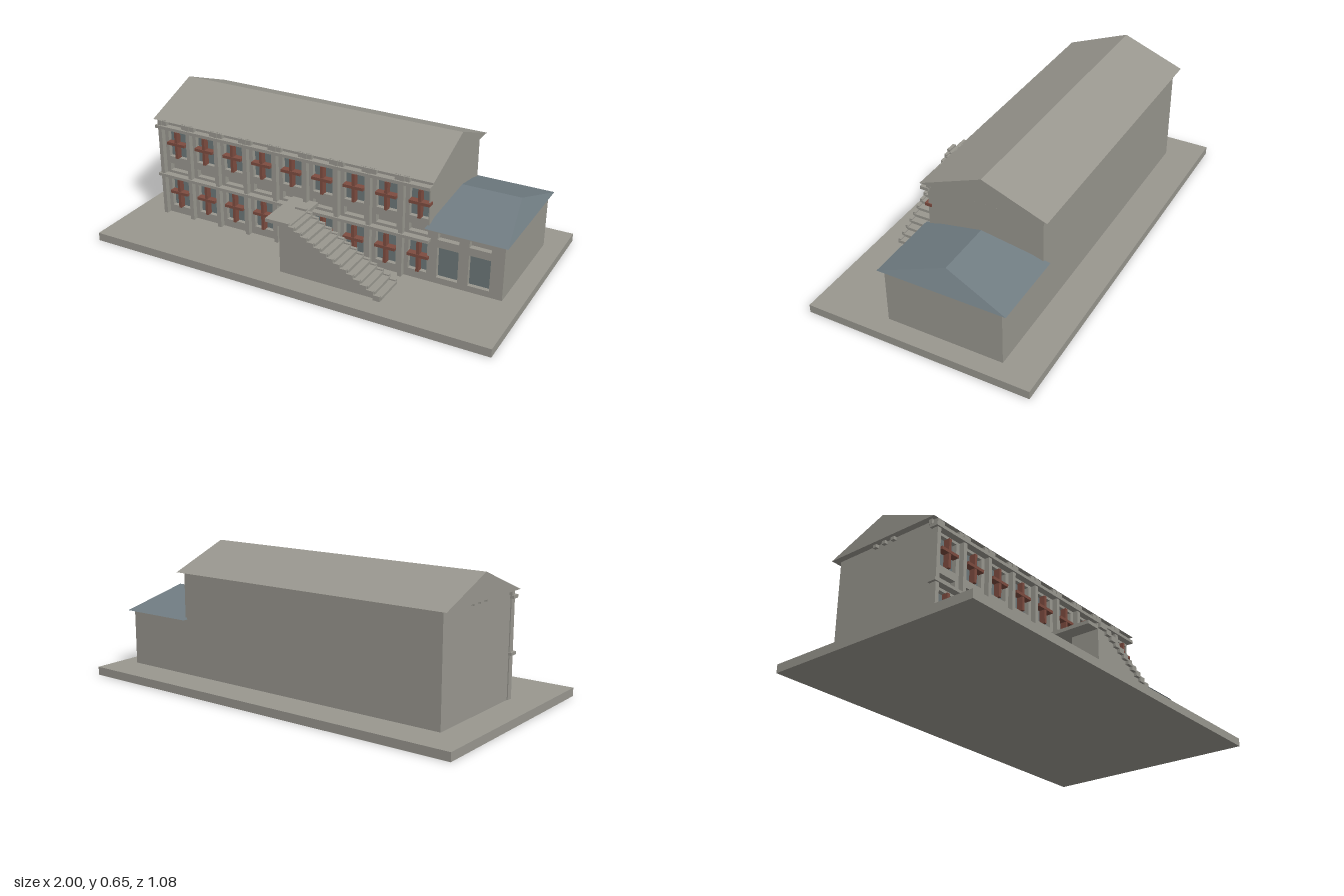
import * as THREE from 'three';

const mat = (name, color, opts = {}) => {
  const m = new THREE.MeshStandardMaterial({ color, ...opts });
  m.name = name;
  return m;
};

export function createModel() {
  const model = new THREE.Group();
  model.name = 'schoolhouse';
  const stone = mat('stone', 0x99978f);
  const slate = mat('slate', 0x707c82);
  const glass = mat('glass', 0x6c7779);
  const wood = mat('wood', 0x7d4c40);

  const add = (name, geo, m, parent = model) => {
    const mesh = new THREE.Mesh(geo, m);
    mesh.name = name;
    parent.add(mesh);
    return mesh;
  };
  const group = (name) => {
    const g = new THREE.Group();
    g.name = name;
    model.add(g);
    return g;
  };
  // Box given by its extents
  const box = (name, x0, x1, y0, y1, z0, z1, m = stone, parent = model) => {
    const mesh = add(name, new THREE.BoxGeometry(x1 - x0, y1 - y0, z1 - z0), m, parent);
    mesh.position.set((x0 + x1) / 2, (y0 + y1) / 2, (z0 + z1) / 2);
    return mesh;
  };
  const rect = (Type, [x0, x1, y0, y1]) => {
    const p = new Type();
    p.moveTo(x0, y0);
    p.lineTo(x1, y0);
    p.lineTo(x1, y1);
    p.lineTo(x0, y1);
    p.closePath();
    return p;
  };
  // Front wall with rectangular openings
  const BACK = -0.37, CORE = 0.16, FRONT = 0.187;
  const wall = (name, outline, holes) => {
    const s = rect(THREE.Shape, outline);
    s.holes = holes.map((h) => rect(THREE.Path, h));
    const geo = new THREE.ExtrudeGeometry(s, { depth: FRONT - CORE, bevelEnabled: false });
    add(name, geo, stone).position.z = CORE;
  };
  // Closed roof: hipped by an inset of the ridge, gabled where the inset is 0
  const roof = (name, x0, x1, y0, y1, inL, inR, m) => {
    const zb = -0.397, zf = 0.212, zr = -0.093;
    const a = [x0, y0, zf], b = [x1, y0, zf], c = [x1, y0, zb], d = [x0, y0, zb];
    const l = [x0 + inL, y1, zr], r = [x1 - inR, y1, zr];
    const tris = [a, b, r, a, r, l, c, d, l, c, l, r, b, c, r, d, a, l, a, d, c, a, c, b];
    const geo = new THREE.BufferGeometry();
    geo.setAttribute('position', new THREE.Float32BufferAttribute(tris.flat(), 3));
    geo.computeVertexNormals();
    add(name, geo, m);
  };

  box('groundSlab', -1, 1, 0, 0.04, -0.54, 0.54);

  // Main block and side annex
  box('mainBlock', -0.85, 0.56, 0.04, 0.535, BACK, CORE);
  box('annexBlock', 0.56, 0.91, 0.04, 0.31, BACK, CORE);
  roof('mainRoof', -0.88, 0.583, 0.535, 0.653, 0, 0, stone);
  roof('annexRoof', 0.548, 0.928, 0.309, 0.402, 0.045, 0.055, slate);

  // Nine window bays on two floors, with recessed panels between
  const windows = group('windows');
  const floors = [[0.08, 0.23], [0.345, 0.482]];
  const mainHoles = [];
  for (let i = 0; i < 9; i++) {
    const cx = -0.765 + i * 0.16;
    const x0 = cx - 0.05, x1 = Math.min(cx + 0.05, 0.555);
    mainHoles.push([x0, x1, 0.27, 0.308]);
    floors.forEach(([y0, y1]) => {
      mainHoles.push([x0, x1, y0, y1]);
      box('windowPane', x0, x1, y0, y1, CORE, CORE + 0.006, glass, windows);
      const cy = (y0 + y1) / 2 + 0.005;
      box('windowMullion', cx - 0.007, cx + 0.007, y0, y1, 0.17, 0.2, wood, windows);
      box('windowTransom', cx - 0.05, cx + 0.05, cy - 0.007, cy + 0.007, 0.17, 0.203, wood, windows);
    });
  }
  wall('mainFacade', [-0.85, 0.56, 0.04, 0.535], mainHoles);

  // Annex windows
  const annexHoles = [];
  [0.652, 0.799].forEach((cx) => {
    annexHoles.push([cx - 0.05, cx + 0.05, 0.07, 0.22], [cx - 0.05, cx + 0.05, 0.257, 0.29]);
    box('annexPane', cx - 0.05, cx + 0.05, 0.07, 0.22, CORE, CORE + 0.006, glass, windows);
  });
  wall('annexFacade', [0.56, 0.91, 0.04, 0.31], annexHoles);

  // Pilasters with a pair of rafter ends beside each one
  const trim = group('facadeTrim');
  for (let i = 0; i < 9; i++) {
    const x = -0.845 + i * 0.16;
    box('pilaster', x - 0.01, x + 0.01, 0.04, 0.535, FRONT - 0.005, 0.212, stone, trim);
    [-0.021, 0.021].forEach((o) => {
      if (x + o > -0.85) box('rafterEnd', x + o - 0.014, x + o + 0.014, 0.51, 0.538, 0.17, 0.208, stone, trim);
    });
  }
  [[0.243, 0.257], [0.495, 0.51]].forEach(([y0, y1]) => {
    box('ledge', -0.867, 0.57, y0, y1, 0.178, 0.219, stone, trim);
  });
  // Purlin ends under both gables
  [-0.04, -0.093, -0.146].forEach((z) => {
    box('purlin', -0.865, 0.572, 0.52, 0.537, z - 0.01, z + 0.01, stone, trim);
  });
  box('eavesBeam', -0.865, 0.568, 0.512, 0.536, 0.17, 0.188, stone, trim);

  // Outside staircase: landing, solid base, treads and stepped kerbs
  const stairs = group('staircase');
  box('landing', -0.122, 0.01, 0.275, 0.292, 0.185, 0.43, stone, stairs);
  const side = new THREE.Shape();
  side.moveTo(-0.05, 0.04);
  side.lineTo(0.45, 0.04);
  side.lineTo(0.45, 0.045);
  side.lineTo(0.01, 0.276);
  side.lineTo(-0.05, 0.276);
  add('stairBase', new THREE.ExtrudeGeometry(side, { depth: 0.14, bevelEnabled: false }), stone, stairs)
    .position.z = 0.29;
  const steps = 14, run = 0.0325, rise = 0.0172;
  for (let i = 0; i < steps; i++) {
    const x = i * run, y = 0.283 - i * rise;
    box('tread', x, x + run + 0.004, y - 0.014, y, 0.285, 0.435, stone, stairs);
    [0.274, 0.43].forEach((z) => {
      box('kerb', x, x + run, y - 0.02, y + 0.006, z, z + 0.015, stone, stairs);
    });
  }
  [0.274, 0.43].forEach((z) => {
    box('topKerb', -0.05, 0.005, 0.28, 0.302, z, z + 0.015, stone, stairs);
  });

  return model;
}
